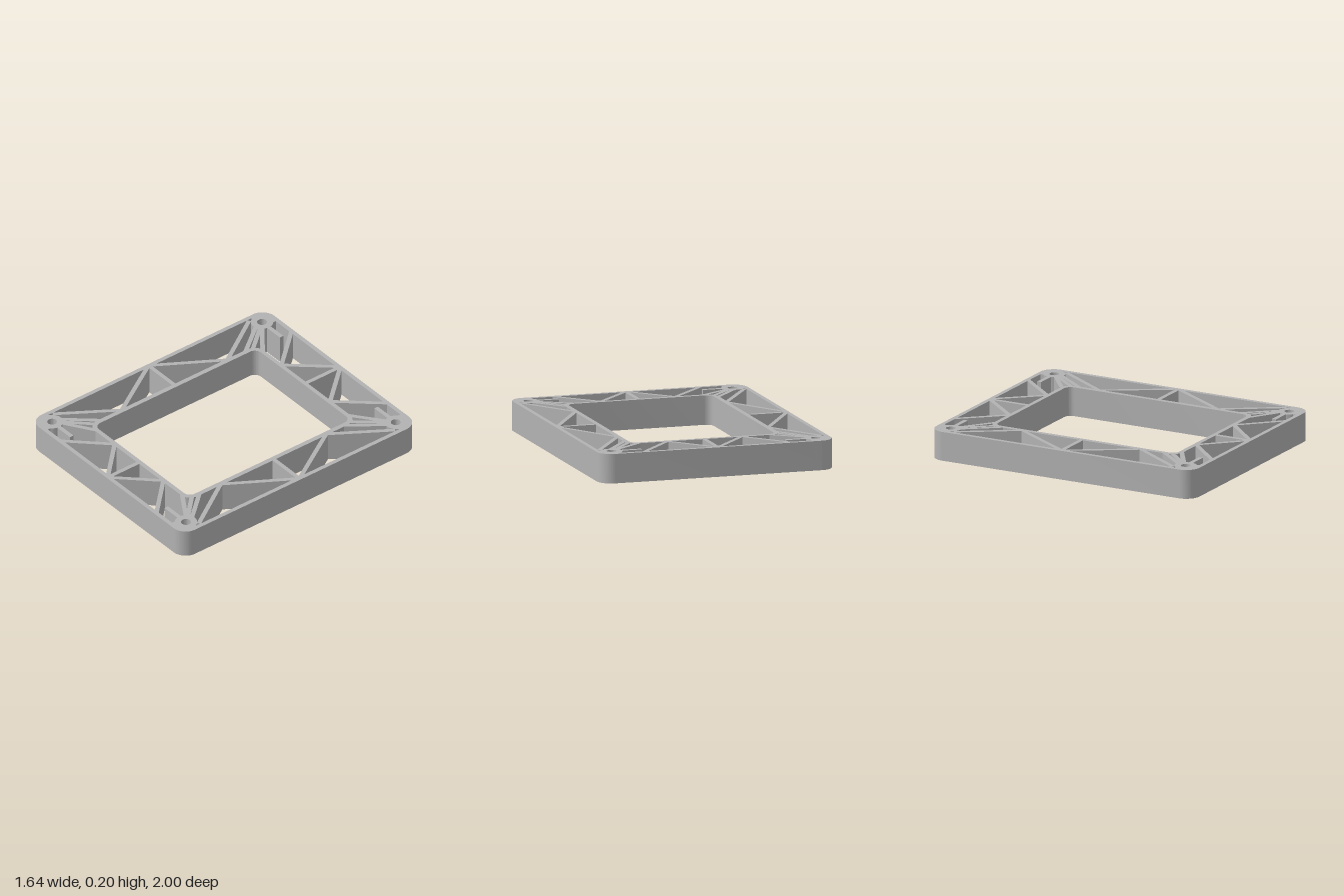
import * as THREE from 'three';
import { toCreasedNormals } from 'three/addons/utils/BufferGeometryUtils.js';

const H = 0.2;      // frame height
const T = 0.03;     // rib thickness
const BX = 0.715, BZ = 0.893; // corner boss centre

// Rounded rectangle in plan (x, z)
function roundedRect(x, z0, z1, r, P = THREE.Shape) {
  const s = new P();
  s.moveTo(x, z0 + r);
  s.absarc(x - r, z1 - r, r, 0, Math.PI / 2, false);
  s.absarc(-x + r, z1 - r, r, Math.PI / 2, Math.PI, false);
  s.absarc(-x + r, z0 + r, r, Math.PI, Math.PI * 1.5, false);
  s.absarc(x - r, z0 + r, r, Math.PI * 1.5, Math.PI * 2, false);
  return s;
}

// Raise a plan shape to the full frame height
function raise(shape) {
  const g = new THREE.ExtrudeGeometry(shape, { depth: H, bevelEnabled: false, curveSegments: 14 });
  g.rotateX(Math.PI / 2).translate(0, H, 0);
  return toCreasedNormals(g, 0.6);
}

export function createModel() {
  const model = new THREE.Group();
  const grey = new THREE.MeshStandardMaterial({ color: 0xb2b2b2 });
  grey.name = 'grey';

  const add = (name, geometry) => {
    const mesh = new THREE.Mesh(geometry, grey);
    mesh.name = name;
    model.add(mesh);
    return mesh;
  };

  // Upright wall between two plan points
  const rib = (name, x0, z0, x1, z1, t = T) => {
    const dx = x1 - x0, dz = z1 - z0;
    const mesh = add(name, new THREE.BoxGeometry(Math.hypot(dx, dz), H, t));
    mesh.position.set((x0 + x1) / 2, H / 2, (z0 + z1) / 2);
    mesh.rotation.y = -Math.atan2(dz, dx);
  };

  // Outer and inner walls
  const outer = roundedRect(0.82, -1, 1, 0.1);
  outer.holes.push(roundedRect(0.79, -0.97, 0.97, 0.07, THREE.Path));
  add('outerWall', raise(outer));
  const inner = roundedRect(0.538, -0.705, 0.733, 0.08);
  inner.holes.push(roundedRect(0.505, -0.675, 0.702, 0.05, THREE.Path));
  add('innerWall', raise(inner));

  // Solid corner around a bolt hole
  const corner = new THREE.Shape();
  corner.moveTo(0.105, -0.05);
  corner.absarc(0.005, 0.007, 0.1, 0, Math.PI / 2, false);
  corner.lineTo(-0.05, 0.107);
  corner.absarc(0, 0, 0.075, Math.PI * 0.733, Math.PI * 1.767, false);
  const cornerPoints = corner.getPoints(14);
  const holePoints = new THREE.Path().absarc(0, 0, 0.033, 0, Math.PI * 2, true).getPoints(14);

  for (const sx of [-1, 1]) {
    for (const sz of [-1, 1]) {
      const place = (p) => new THREE.Vector2(sx * (BX + p.x), sz * (BZ + p.y));
      const shape = new THREE.Shape(cornerPoints.map(place));
      shape.holes.push(new THREE.Path(holePoints.map(place)));
      add('cornerBoss', raise(shape));

      const zi = sz < 0 ? 0.69 : 0.718; // inner wall line at this end
      const r = (name, x0, z0, x1, z1, t) => rib(name, sx * x0, sz * z0, sx * x1, sz * z1, t);
      // Free tab and fan of ribs from the boss to the inner corner
      r('cornerTab', 0.65, BZ, 0.505, BZ);
      r('cornerRib', 0.66, 0.85, 0.46, zi + 0.005);
      r('cornerRib', 0.67, 0.84, 0.52, zi - 0.03);
      r('cornerRib', 0.7, 0.83, 0.525, zi - 0.09);
      // Long-side truss
      r('sideBrace', 0.78, 0.835, 0.522, 0.44);
      r('sideBrace', 0.522, 0.46, 0.8, 0.01);
      // Short-side truss
      r('endBrace', 0.515, 0.985, 0.255, zi);
      r('endBrace', 0.265, zi, 0.005, 0.985);
    }
    rib('sideCrossbar', sx * 0.53, 0, sx * 0.8, 0);
  }
  rib('endCrossbar', 0, -0.98, 0, -0.69);
  rib('endCrossbar', 0, 0.98, 0, 0.718);

  return model;
}
